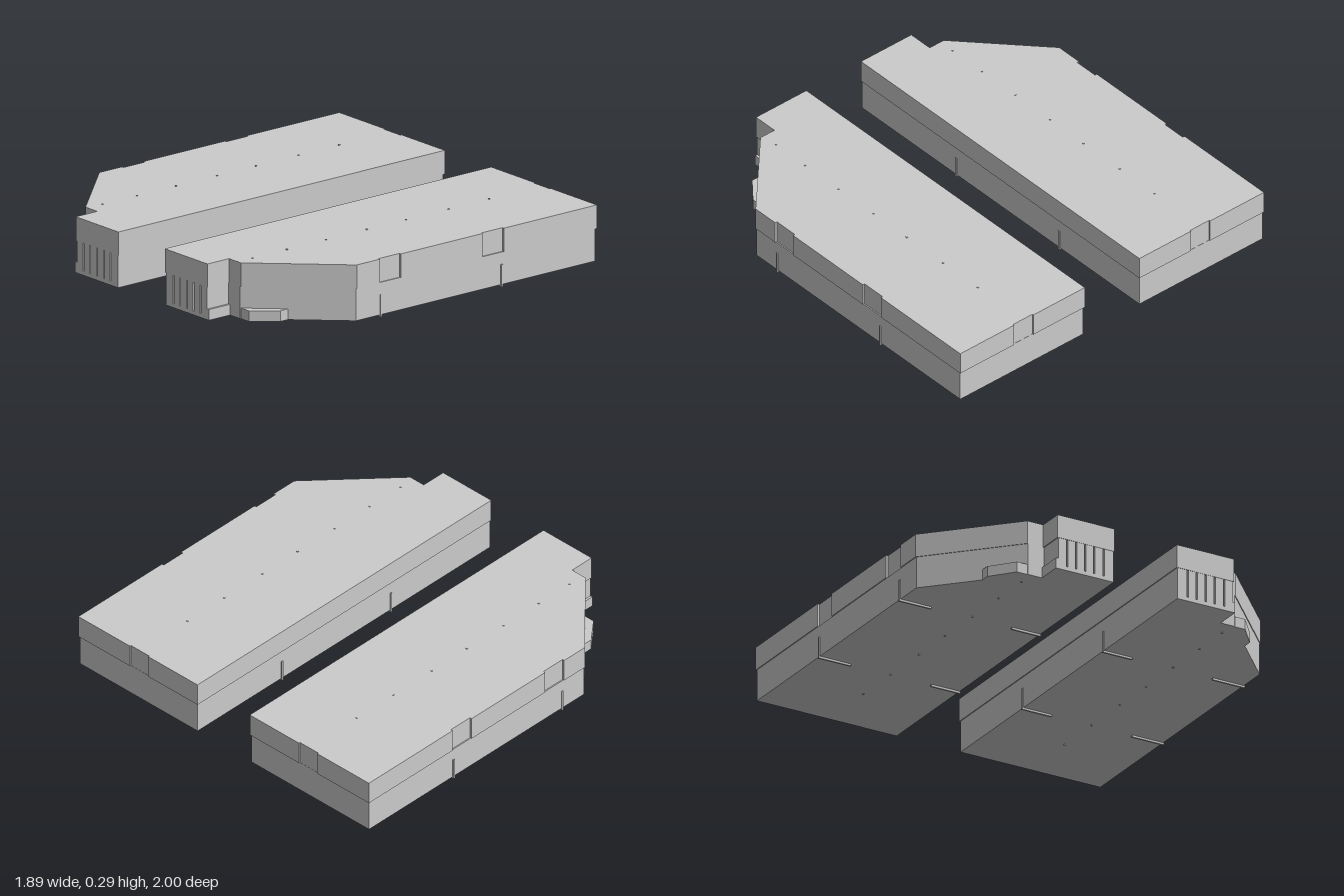
import * as THREE from 'three';

const material = new THREE.MeshStandardMaterial({ color: 0xcccccc, flatShading: true });

// Extrudes a plan outline of [x, z] points from y0 to y1; side (+1/-1) mirrors it.
function slab(name, side, points, y0, y1) {
  const shape = new THREE.Shape(points.map(([x, z]) => new THREE.Vector2(side * x, -z)));
  const geometry = new THREE.ExtrudeGeometry(shape, { depth: y1 - y0, bevelEnabled: false });
  geometry.rotateX(-Math.PI / 2).translate(0, y0, 0);
  const mesh = new THREE.Mesh(geometry, material);
  mesh.name = name;
  return mesh;
}

function box(name, side, x0, x1, y0, y1, z0, z1) {
  const mesh = new THREE.Mesh(new THREE.BoxGeometry(x1 - x0, y1 - y0, z1 - z0), material);
  mesh.position.set(side * (x0 + x1) / 2, (y0 + y1) / 2, (z0 + z1) / 2);
  mesh.name = name;
  return mesh;
}

function createHalf(side) {
  const half = new THREE.Group();
  half.name = side > 0 ? 'leftBlock' : 'rightBlock';

  // Upper shell, with shallow gaps in the back and outer walls
  half.add(slab('upperShell', side, [
    [0.17, -1], [0.49, -1], [0.49, -0.993], [0.61, -0.993], [0.61, -1], [0.945, -1],
    [0.945, -0.43], [0.934, -0.43], [0.934, -0.30], [0.945, -0.30],
    [0.945, 0.20], [0.934, 0.20], [0.934, 0.33], [0.945, 0.33],
    [0.945, 0.47], [0.57, 0.868], [0.483, 0.868], [0.483, 1], [0.17, 1],
  ], 0.17, 0.287));

  // Lower shell, slightly inset, with narrow vents in the nose
  const lower = [
    [0.175, -0.994], [0.94, -0.994], [0.94, 0.47], [0.565, 0.868],
    [0.478, 0.868], [0.478, 0.998],
  ];
  for (let i = 4; i >= 0; i--) {
    const x = 0.23 + i * 0.05;
    lower.push([x + 0.004, 0.998], [x + 0.004, 0.975], [x - 0.004, 0.975], [x - 0.004, 0.998]);
  }
  lower.push([0.175, 0.998]);
  half.add(slab('lowerShell', side, lower, 0.03, 0.17));
  half.add(slab('basePlate', side, [
    [0.175, -0.994], [0.94, -0.994], [0.94, 0.47], [0.565, 0.868],
    [0.49, 0.868], [0.49, 0.998], [0.175, 0.998],
  ], 0.01, 0.03));

  // Low ledges beside the chamfer and the nose
  half.add(slab('cornerLedge', side,
    [[0.719, 0.70], [0.719, 0.75], [0.625, 0.865], [0.56, 0.865]], 0.01, 0.063));
  half.add(box('noseLedge', side, 0.476, 0.49, 0.01, 0.063, 0.868, 0.998));

  // Thin clip ribs wrapping under the long edges and the back edge
  for (const z of [-0.42, 0.32]) {
    half.add(box('outerClipSide', side, 0.935, 0.945, 0, 0.11, z - 0.005, z + 0.005));
    half.add(box('outerClipFoot', side, 0.77, 0.94, 0, 0.012, z - 0.005, z + 0.005));
    half.add(box('innerClipSide', side, 0.17, 0.18, 0, 0.11, z - 0.005, z + 0.005));
    half.add(box('innerClipFoot', side, 0.175, 0.33, 0, 0.012, z - 0.005, z + 0.005));
  }

  // Small pins along the top and bottom
  for (const z of [-0.67, -0.42, -0.16, 0.08, 0.33, 0.57, 0.78]) {
    for (const y of [0.288, 0.0085]) {
      const pin = new THREE.Mesh(new THREE.CylinderGeometry(0.005, 0.005, 0.005, 8), material);
      pin.position.set(side * 0.55, y, z);
      pin.name = 'pin';
      half.add(pin);
    }
  }
  return half;
}

export function createModel() {
  const model = new THREE.Group();
  model.name = 'splitBlocks';
  model.add(createHalf(1), createHalf(-1));
  return model;
}
